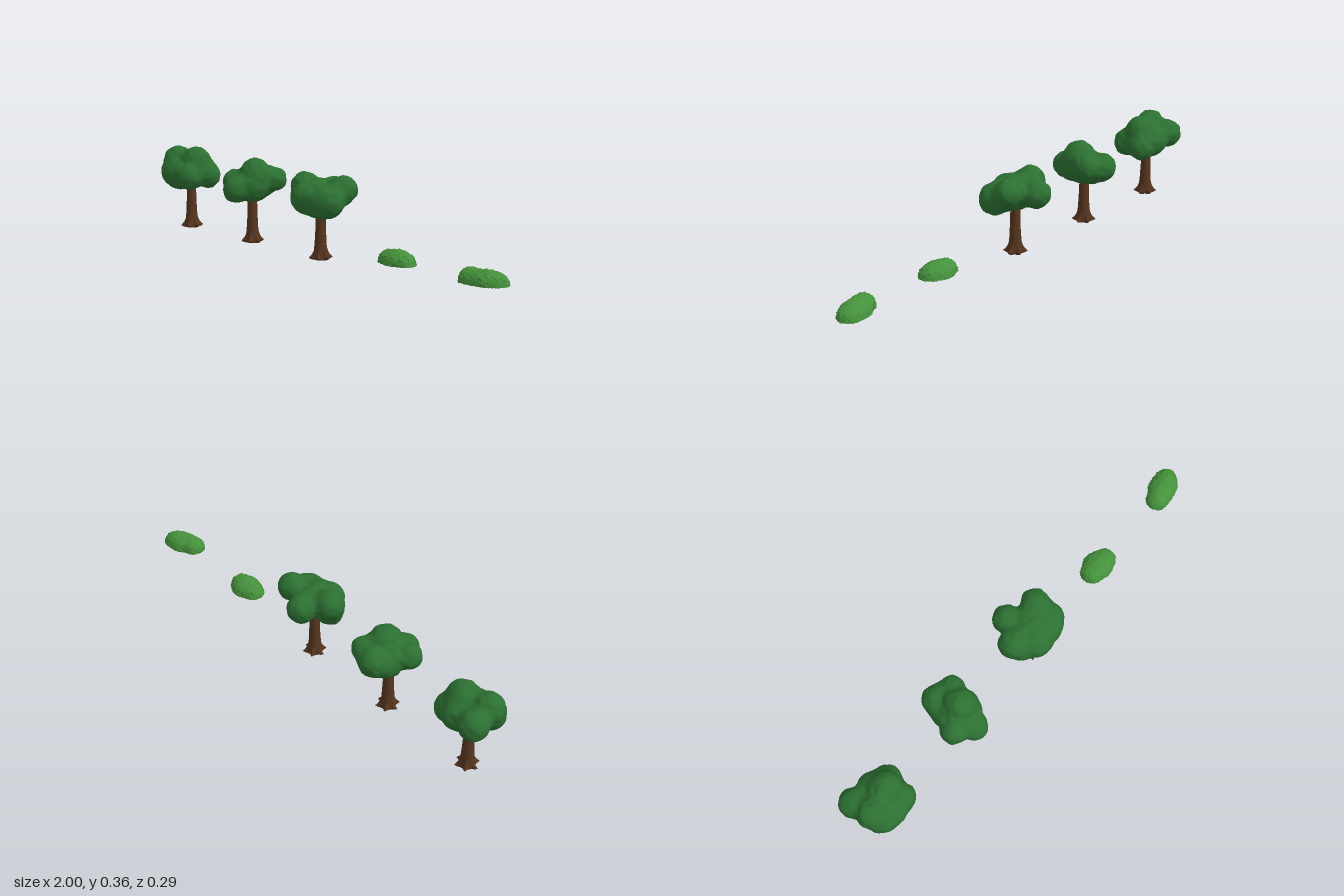
import * as THREE from 'three';
import { mergeVertices, toCreasedNormals } from 'three/addons/utils/BufferGeometryUtils.js';

const material = (color) => new THREE.MeshStandardMaterial({ color });
const leafMat = material(0x2c7032);
const bushMat = material(0x45923c);
const barkMat = material(0x56351f);

// Smooth union of spheres [x, y, z, radius], evaluated at p
function lobeDistance(p, lobes, blend) {
  let d = 10;
  for (const [x, y, z, r] of lobes) {
    const s = Math.hypot(p.x - x, p.y - y, p.z - z) - r;
    const h = Math.max(blend - Math.abs(d - s), 0) / blend;
    d = Math.min(d, s) - h * h * blend * 0.25;
  }
  return d;
}

// Gentle lumps for foliage
const lumps = (p, f) =>
  Math.sin(p.x * f + 1.3 * Math.sin(p.y * f)) *
  Math.sin(p.y * f * 1.1 + 1.7 * Math.sin(p.z * f)) *
  Math.sin(p.z * f * 0.9 + 1.1 * Math.sin(p.x * f) + 1);

// Shrink-wraps a sphere onto a distance field, marching in towards the centre
function shrinkWrap(centre, field, detail) {
  let geo = new THREE.IcosahedronGeometry(1, detail);
  geo.deleteAttribute('normal');
  geo.deleteAttribute('uv');
  geo = mergeVertices(geo, 1e-4);
  const pos = geo.attributes.position;
  const dir = new THREE.Vector3();
  const p = new THREE.Vector3();
  for (let i = 0; i < pos.count; i++) {
    dir.fromBufferAttribute(pos, i).normalize();
    let t = 0.25;
    for (let k = 0; k < 80 && t > 0.005; k++) {
      p.copy(centre).addScaledVector(dir, t);
      const d = field(p);
      if (d < 0.0003) break;
      t -= d * 0.7;
    }
    p.copy(centre).addScaledVector(dir, Math.max(t, 0.005));
    pos.setXYZ(i, p.x, p.y, p.z);
  }
  geo.computeVertexNormals();
  return geo;
}

// Tapered trunk with bark ridges and flared roots
function trunkGeometry(phase) {
  const height = 0.23;
  const geo = new THREE.CylinderGeometry(1, 1, height, 40, 20);
  const pos = geo.attributes.position;
  for (let i = 0; i < pos.count; i++) {
    const x = pos.getX(i);
    const z = pos.getZ(i);
    // Rows crowd towards the roots
    const t = THREE.MathUtils.clamp(pos.getY(i) / height + 0.5, 0, 1);
    const y = height * Math.pow(t, 1.5);
    const a = Math.atan2(z, x);
    const root = Math.pow(0.5 + 0.5 * Math.cos(6 * a + phase), 2);
    const flare = Math.exp(-Math.pow(Math.max(y - 0.007, 0) / 0.016, 1.2));
    const tuck = y < 0.006 ? 0.35 + 0.65 * (y / 0.006) : 1;
    const r = 0.018 + 0.011 * Math.exp(-y / 0.09)
      + 0.022 * flare * root * tuck
      + 0.0006 * Math.sin(11 * a + y * 40);
    pos.setXYZ(i, x * r, y, z * r);
  }
  return toCreasedNormals(geo, 0.9);
}

// Lobes are relative to the foot of each tree
const trees = [
  { x: -0.868, lobes: [
    [0, 0.25, 0, 0.072], [-0.06, 0.293, 0.025, 0.061], [0.045, 0.295, 0, 0.062],
    [-0.073, 0.265, -0.058, 0.058], [0.082, 0.236, -0.03, 0.055], [0.06, 0.235, 0.055, 0.058],
    [-0.045, 0.24, 0.055, 0.058], [0.02, 0.25, -0.05, 0.056], [0, 0.235, 0.06, 0.058]] },
  { x: -0.428, lobes: [
    [0, 0.245, 0, 0.066], [-0.005, 0.255, -0.086, 0.058], [0.066, 0.267, -0.068, 0.049],
    [0.03, 0.292, 0.005, 0.064], [-0.058, 0.252, 0.045, 0.051], [0.01, 0.232, 0.09, 0.054],
    [0.035, 0.245, 0.025, 0.063], [-0.015, 0.23, -0.03, 0.058]] },
  { x: 0.016, lobes: [
    [0, 0.255, 0, 0.07], [-0.025, 0.262, -0.086, 0.058], [0.09, 0.285, -0.04, 0.057],
    [0.09, 0.245, 0.03, 0.061], [-0.093, 0.28, 0, 0.059], [-0.07, 0.227, 0.02, 0.053],
    [-0.02, 0.25, 0.057, 0.062], [0.05, 0.235, 0.05, 0.06]] },
];

// Lobes are relative to the middle of each bush's flat underside
const bushes = [
  { x: 0.465, z: -0.003, lobes: [
    [-0.038, 0, 0, 0.048], [0.039, 0, 0.003, 0.047], [0, -0.002, 0.01, 0.05], [0, -0.002, -0.013, 0.05]] },
  { x: 0.903, z: -0.012, lobes: [
    [-0.049, 0.008, 0.014, 0.046], [0.053, 0, -0.016, 0.044], [0, 0.002, -0.012, 0.046],
    [-0.01, 0, 0.012, 0.046], [0.03, 0, -0.012, 0.046], [0.025, 0, 0.004, 0.046]] },
];

function addMesh(parent, name, geometry, mat) {
  const mesh = new THREE.Mesh(geometry, mat);
  mesh.name = name;
  parent.add(mesh);
}

export function createModel() {
  const model = new THREE.Group();
  model.name = 'treesAndBushes';

  trees.forEach(({ x, lobes }, i) => {
    const tree = new THREE.Group();
    tree.name = `tree${i + 1}`;
    tree.position.set(x, 0, -0.004);
    addMesh(tree, 'trunk', trunkGeometry(0.6), barkMat);
    const field = (p) => lobeDistance(p, lobes, 0.03) + 0.003 * lumps(p, 60);
    addMesh(tree, 'canopy', shrinkWrap(new THREE.Vector3(0, 0.25, 0), field, 22), leafMat);
    model.add(tree);
  });

  bushes.forEach(({ x, z, lobes }, i) => {
    // Flat underside cuts the lumpy dome
    const field = (p) => Math.max(lobeDistance(p, lobes, 0.018) + 0.0035 * lumps(p, 200), -p.y);
    const geo = shrinkWrap(new THREE.Vector3(0, 0.018, 0), field, 24);
    const bush = new THREE.Group();
    bush.name = `bush${i + 1}`;
    bush.position.set(x, 0.057, z);
    addMesh(bush, 'foliage', toCreasedNormals(geo, 0.8), bushMat);
    model.add(bush);
  });

  return model;
}
